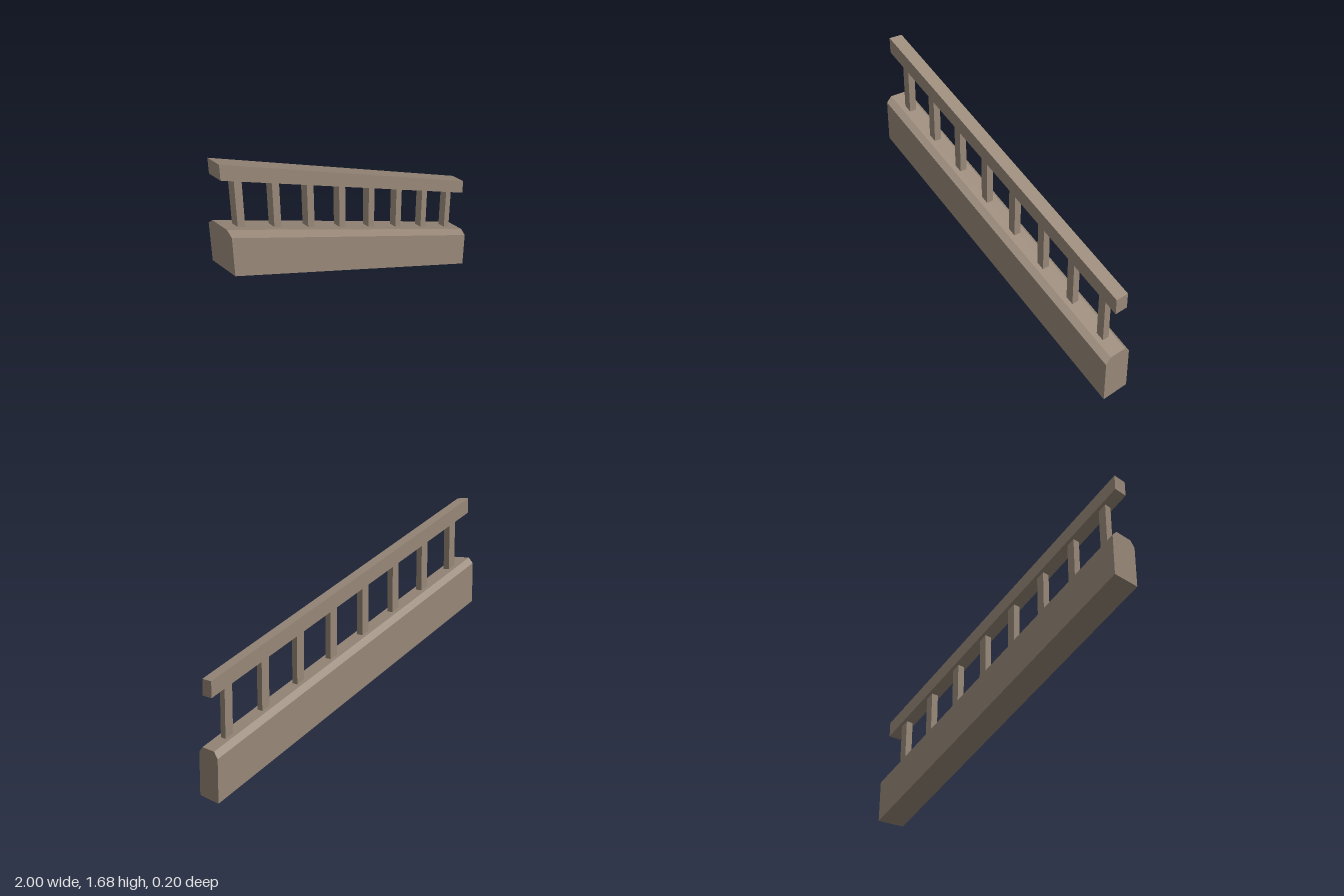
import * as THREE from 'three';

const SLOPE = 0.5;

// Extrude a z/y section along x, then shear it down the stair slope (+x end lowest)
function slopedBar(section, x0, x1) {
  const shape = new THREE.Shape(section.map(([z, y]) => new THREE.Vector2(z, y)));
  const geo = new THREE.ExtrudeGeometry(shape, { depth: x1 - x0, bevelEnabled: false });
  geo.rotateY(Math.PI / 2).translate(x0, 0, 0);
  const pos = geo.attributes.position;
  for (let i = 0; i < pos.count; i++) {
    pos.setY(i, pos.getY(i) + SLOPE * (1 - pos.getX(i)));
  }
  geo.computeVertexNormals();
  return geo;
}

const rect = (halfZ, y0, y1) => [[-halfZ, y0], [halfZ, y0], [halfZ, y1], [-halfZ, y1]];

export function createModel() {
  const model = new THREE.Group();
  model.name = 'stairRailing';
  const stone = new THREE.MeshStandardMaterial({ color: 0x978878 });
  stone.name = 'warm grey stone';

  const add = (name, geo) => {
    const mesh = new THREE.Mesh(geo, stone);
    mesh.name = name;
    model.add(mesh);
  };

  // Solid base with chamfered upper edges
  add('base', slopedBar(
    [[-0.1, 0], [0.1, 0], [0.1, 0.255], [0.063, 0.29], [-0.063, 0.29], [-0.1, 0.255]], -1, 1));

  // Handrail
  add('handrail', slopedBar(rect(0.048, 0.59, 0.685), -1, 1));

  // Eight upright balusters with ends cut to the slope
  for (let i = 0; i < 8; i++) {
    const x = -0.877 + i * 0.2505;
    add(`baluster${i + 1}`, slopedBar(rect(0.025, 0.288, 0.592), x - 0.025, x + 0.025));
  }
  return model;
}
